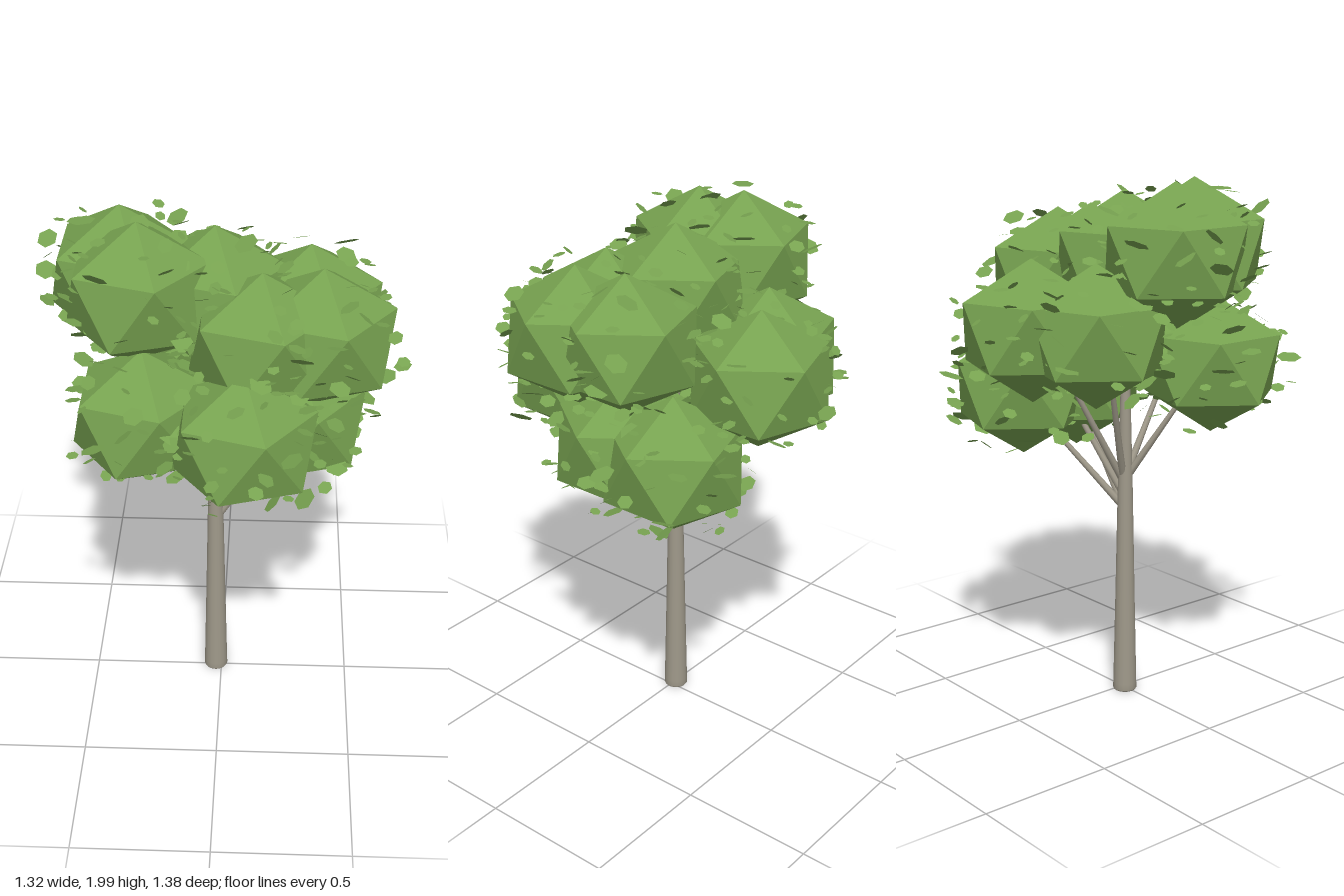
import * as THREE from 'three';
import { mergeGeometries } from 'three/addons/utils/BufferGeometryUtils.js';

const RX = 0.28, RY = 0.257; // clump radius, sideways and upwards

// Centres of the foliage clumps
const CLUMPS = [
  [-0.35, 1.73, -0.06], [-0.28, 1.735, 0.09], [-0.02, 1.68, -0.01], [0.145, 1.595, 0.17],
  [0.35, 1.595, 0.13], [0.31, 1.595, -0.06], [0.01, 1.46, -0.41], [-0.2, 1.455, -0.29],
  [-0.265, 1.31, 0.2], [0.09, 1.32, 0.36], [0.27, 1.19, -0.01], [0.29, 1.19, -0.25],
];

function seeded(seed) {
  return () => {
    seed = (seed * 1664525 + 1013904223) % 4294967296;
    return seed / 4294967296;
  };
}

// Icosahedron standing on a point: two poles and two staggered rings of five
function clumpGeometry() {
  const ring = (y, turn) => Array.from({ length: 5 }, (_, i) => {
    const a = (i * 2 * Math.PI) / 5 + turn;
    return new THREE.Vector3(0.894 * RX * Math.cos(a), y, 0.894 * RX * Math.sin(a));
  });
  const top = new THREE.Vector3(0, RY, 0), bottom = new THREE.Vector3(0, -RY, 0);
  const up = ring(0.447 * RY, 0), low = ring(-0.447 * RY, Math.PI / 5);
  const points = [];
  for (let i = 0; i < 5; i++) {
    const j = (i + 1) % 5;
    points.push(top, up[j], up[i], up[i], up[j], low[i]);
    points.push(low[i], up[j], low[j], bottom, low[i], low[j]);
  }
  const g = new THREE.BufferGeometry().setFromPoints(points);
  g.computeVertexNormals();
  return g;
}

// Small flat leaves scattered evenly over the surface of one clump
function leavesGeometry(random, count) {
  const leaves = [];
  for (let i = 0; i < count; i++) {
    const y = 0.9 - (1.75 * (i + random())) / count, a = i * 2.4 + random();
    const r = Math.sqrt(1 - y * y), d = 0.87 + random() * 0.2;
    const leaf = new THREE.CircleGeometry(0.02 + random() ** 2 * 0.028, 6);
    leaf.scale(1, 0.88, 1);
    leaf.rotateX(-Math.PI / 2 + (random() - 0.5) * 1.5);
    leaf.rotateZ((random() - 0.5) * 0.9);
    leaf.rotateY(random() * Math.PI * 2);
    leaf.translate(Math.cos(a) * r * RX * d, y * RY * d, Math.sin(a) * r * RX * d);
    leaves.push(leaf);
  }
  return mergeGeometries(leaves);
}

// Tapered round limb between two points
function limb(from, to, r0, r1, sides, material, name) {
  const a = new THREE.Vector3(...from), dir = new THREE.Vector3(...to).sub(a);
  const g = new THREE.CylinderGeometry(r1, r0, dir.length(), sides);
  const mesh = new THREE.Mesh(g, material);
  mesh.position.copy(a).addScaledVector(dir, 0.5);
  mesh.quaternion.setFromUnitVectors(new THREE.Vector3(0, 1, 0), dir.normalize());
  mesh.name = name;
  return mesh;
}

export function createModel() {
  const group = new THREE.Group();
  group.name = 'tree';
  const bark = new THREE.MeshStandardMaterial({ color: 0x9f998a });
  bark.name = 'bark';
  const foliage = new THREE.MeshStandardMaterial({ color: 0x77a250, flatShading: true });
  foliage.name = 'foliage green';
  const leafGreen = new THREE.MeshStandardMaterial({ color: 0x77a250, side: THREE.DoubleSide });
  leafGreen.name = 'leaf green';

  // Trunk with a softly rounded foot
  const profile = [[0, 0], [0.042, 0], [0.046, 0.006], [0.045, 0.03], [0.037, 0.4], [0.029, 0.8], [0.02, 1.15], [0.01, 1.5]];
  const trunk = new THREE.Mesh(
    new THREE.LatheGeometry(profile.map(([x, y]) => new THREE.Vector2(x, y)), 16), bark);
  trunk.position.set(-0.022, 0, -0.006);
  trunk.name = 'trunk';
  group.add(trunk);

  // Branches reaching into the clumps: starting height and end point
  const branches = [
    [0.74, [0.24, 1.12, -0.02]], [0.74, [0.22, 1.1, -0.23]], [0.79, [0.21, 1.2, -0.13]],
    [0.84, [-0.2, 1.2, 0.14]], [0.84, [0.05, 1.22, 0.26]],
    [0.84, [-0.16, 1.35, -0.2]], [0.84, [0, 1.34, -0.3]],
  ];
  for (const [y, end] of branches) {
    group.add(limb([-0.012, y, -0.006], end, 0.015, 0.008, 8, bark, 'branch'));
  }

  // Crown: faceted clumps covered with loose leaves
  const random = seeded(7);
  const clump = clumpGeometry();
  for (const p of CLUMPS) {
    const body = new THREE.Mesh(clump, foliage);
    body.position.set(...p);
    body.name = 'foliageClump';
    const leaves = new THREE.Mesh(leavesGeometry(random, 56), leafGreen);
    leaves.position.set(...p);
    leaves.name = 'looseLeaves';
    group.add(body, leaves);
  }
  return group;
}
